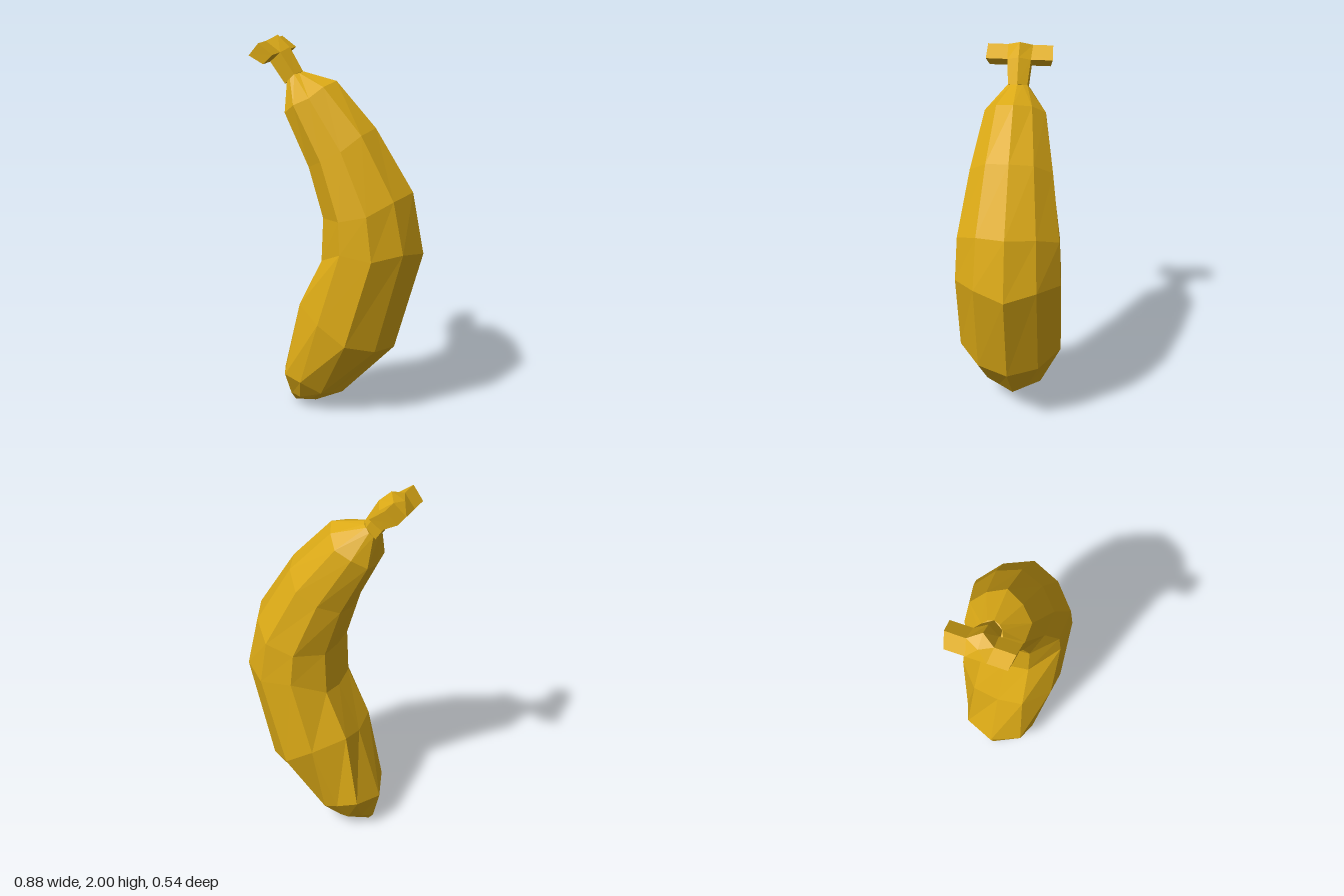
import * as THREE from 'three';

const skin = new THREE.MeshStandardMaterial({ color: 0xdcaa16, flatShading: true });

// Joins closed rings of [x, y, z] points into a skin, closed by a fan to a tip at each end.
function loft(name, rings, startTip, endTip) {
  const pos = [];
  const tri = (a, b, c) => pos.push(...a, ...b, ...c);
  const n = rings[0].length;
  rings.forEach((ring, i) => {
    const next = rings[i + 1];
    for (let j = 0; j < n; j++) {
      const k = (j + 1) % n;
      if (i === 0) tri(startTip, ring[k], ring[j]);
      if (next) {
        tri(ring[j], ring[k], next[k]);
        tri(ring[j], next[k], next[j]);
      } else {
        tri(endTip, ring[j], ring[k]);
      }
    }
  });
  const geometry = new THREE.BufferGeometry();
  geometry.setAttribute('position', new THREE.Float32BufferAttribute(pos, 3));
  geometry.computeVertexNormals();
  const mesh = new THREE.Mesh(geometry, skin);
  mesh.name = name;
  return mesh;
}

// Completes a half ring by mirroring the points that lie off the z = 0 plane.
function mirrorRing(half) {
  const full = half.map(([x, y, z = 0]) => [x, y, z]);
  const other = full.filter((p) => p[2] > 0).reverse().map(([x, y, z]) => [x, y, -z]);
  return [...full, ...other];
}

export function createModel() {
  const group = new THREE.Group();
  group.name = 'banana';

  // Curved fruit: half rings from the outer ridge round to the inner curve, top to bottom
  const bodyRings = [
    [[-0.21, 1.82], [-0.22, 1.815, 0.03], [-0.24, 1.81, 0.05], [-0.26, 1.79, 0.06], [-0.28, 1.77, 0.05], [-0.29, 1.76]],
    [[-0.03, 1.78], [-0.07, 1.76, 0.09], [-0.125, 1.71, 0.155], [-0.21, 1.67, 0.15], [-0.275, 1.62, 0.1], [-0.28, 1.6]],
    [[0.18, 1.55], [0.14, 1.53, 0.12], [0.06, 1.46, 0.21], [-0.05, 1.4, 0.2], [-0.14, 1.35, 0.12], [-0.15, 1.33]],
    [[0.38, 1.23], [0.32, 1.21, 0.15], [0.21, 1.15, 0.26], [0.06, 1.11, 0.25], [-0.06, 1.09, 0.13], [-0.07, 1.09]],
    [[0.44, 0.91], [0.375, 0.94, 0.16], [0.24, 0.92, 0.27], [0.07, 0.94, 0.26], [-0.07, 0.86, 0.13], [-0.08, 0.84]],
    [[0.29, 0.38], [0.23, 0.4, 0.16], [0.1, 0.45, 0.27], [-0.05, 0.55, 0.26], [-0.19, 0.61, 0.14], [-0.2, 0.58]],
    [[0, 0.08], [-0.04, 0.1, 0.08], [-0.07, 0.12, 0.15], [-0.17, 0.19, 0.2], [-0.27, 0.21, 0.16], [-0.33, 0.18]],
    [[-0.11, 0.03], [-0.13, 0.04, 0.06], [-0.15, 0.06, 0.11], [-0.2, 0.07, 0.12], [-0.26, 0.07, 0.08], [-0.295, 0.03]],
  ].map(mirrorRing);
  group.add(loft('fruit', bodyRings, [-0.25, 1.79, 0], [-0.27, 0, 0]));

  // Stem: ridged five-sided stalk, from its tip down to the neck
  const stemRings = [
    [[-0.345, 2], [-0.385, 1.975, 0.065], [-0.445, 1.91, 0.05]],
    [[-0.28, 1.94], [-0.31, 1.92, 0.06], [-0.365, 1.87, 0.06]],
    [[-0.21, 1.82], [-0.24, 1.81, 0.05], [-0.29, 1.76, 0.05]],
  ].map(mirrorRing);
  group.add(loft('stem', stemRings, [-0.415, 1.965, 0], [-0.25, 1.79, 0]));

  // Crossbar: the cut stalk ends on both sides of the stem tip
  const barEnd = [[-0.385, 1.975, 0.168], [-0.31, 1.92, 0.172], [-0.365, 1.87, 0.158], [-0.445, 1.91, 0.15]];
  const barRings = [1, -1].map((s) => barEnd.map(([x, y, z]) => [x, y, z * s]));
  group.add(loft('stalkCrossbar', barRings, [-0.376, 1.919, 0.162], [-0.376, 1.919, -0.162]));

  return group;
}
